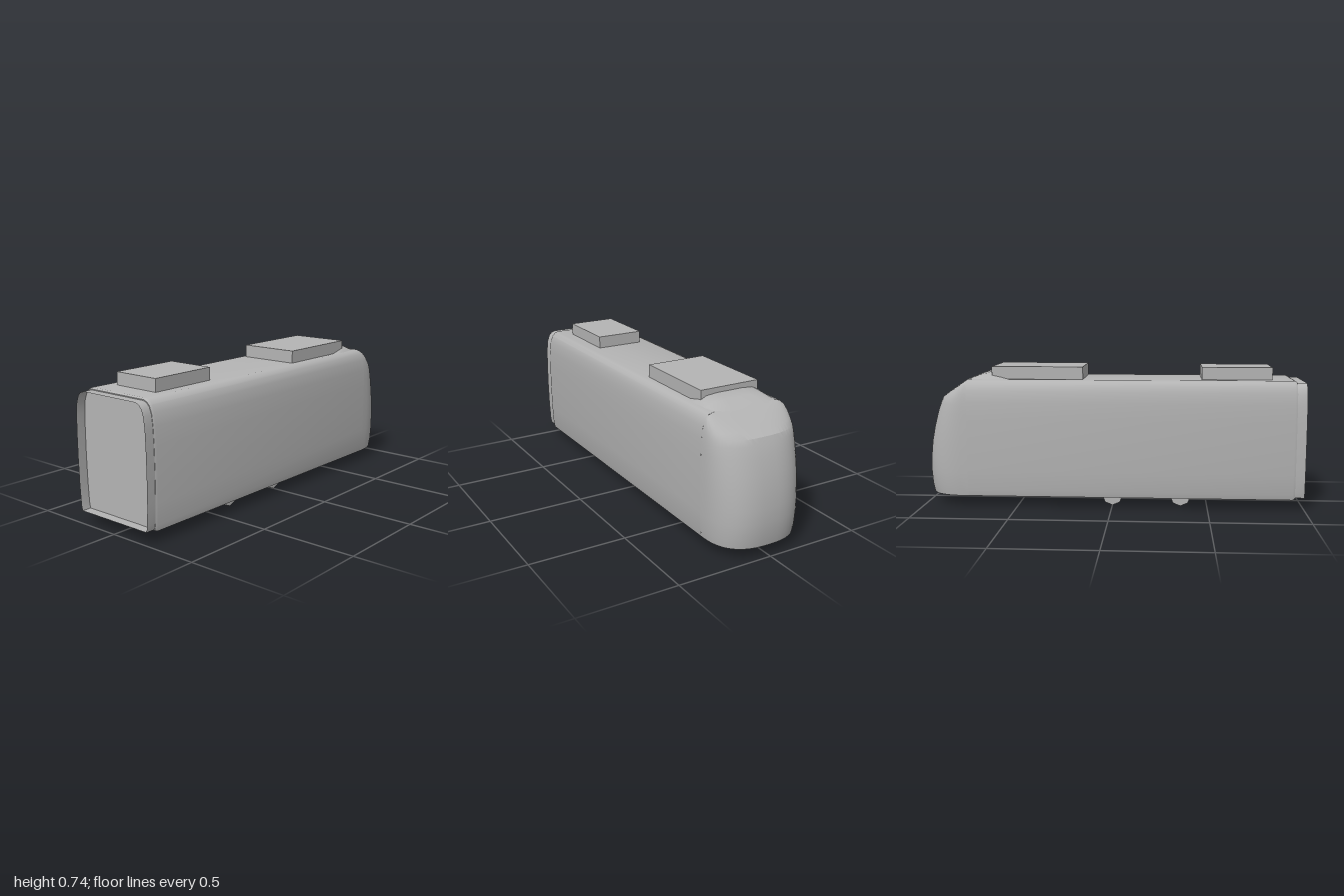
import * as THREE from 'three';
import { toCreasedNormals } from 'three/addons/utils/BufferGeometryUtils.js';

// Right half of the body cross-section, floor to roof: [x, y]
const HALF = [[0.228, 0.055], [0.234, 0.085], [0.239, 0.19], [0.241, 0.33], [0.24, 0.46], [0.237, 0.55],
  [0.23, 0.61], [0.217, 0.645], [0.2, 0.662], [0.18, 0.669]];
const FLOOR = 0.055, ROOF = 0.669, SEAM = -0.76;

// Skin a list of equally long rings of [x, y, z]
function loft(rings, crease = 0.5) {
  const n = rings[0].length, index = [];
  for (let j = 0; j < rings.length - 1; j++) {
    for (let i = 0; i < n - 1; i++) {
      const a = j * n + i, b = a + 1, c = a + n, d = c + 1;
      index.push(a, b, c, b, d, c);
    }
  }
  const geo = new THREE.BufferGeometry();
  geo.setAttribute('position', new THREE.Float32BufferAttribute(rings.flat(2), 3));
  geo.setIndex(index);
  return toCreasedNormals(geo, crease);
}

// Closed body outline at z, scaled about its middle
function section(z, sx = 1, sy = sx) {
  const half = HALF.map(([x, y]) => [x * sx, 0.362 + (y - 0.362) * sy, z]);
  const other = half.map(([x, y]) => [-x, y, z]).reverse();
  return [...half, ...other, half[0]];
}

// Linear lookup in [key, value] pairs
function lookup(table, k) {
  for (let i = 1; i < table.length; i++) {
    const [k0, v0] = table[i - 1], [k1, v1] = table[i];
    if (k <= k1) return v0 + (v1 - v0) * Math.max(0, (k - k0) / (k1 - k0));
  }
  return table[table.length - 1][1];
}

// Horizontal rounded outline of the nose at height y
function noseRing(y, depth, power) {
  const w = lookup(HALF.map(([x, h]) => [h, x]), y), ring = [];
  for (let i = 0; i <= 32; i++) {
    const t = (i / 32) * Math.PI, c = Math.cos(t), s = Math.max(0, Math.sin(t));
    ring.push([
      Math.sign(c) * w * Math.abs(c) ** (2 / power), y,
      SEAM - depth * s ** (2 / power),
    ]);
  }
  return ring;
}

export function createModel() {
  const group = new THREE.Group();
  const grey = new THREE.MeshStandardMaterial({ color: 0xb4b4b4, side: THREE.DoubleSide });
  grey.name = 'grey';
  const add = (name, geo, x = 0, y = 0, z = 0) => {
    const mesh = new THREE.Mesh(geo, grey);
    mesh.name = name;
    mesh.position.set(x, y, z);
    group.add(mesh);
    return mesh;
  };

  // Long body shell with a closed front end
  add('body', loft([section(SEAM), section(0.938), section(0.95, 0.982), section(0.95, 0)]));

  // Open gangway sleeve around the recessed end wall
  add('gangwaySleeve', loft([section(0.94, 0.975, 0.967), section(1, 0.975, 0.967)]));

  // Rounded nose: flat underside, bulging face, sloping windscreen
  const face = [[0.055, 0.225], [0.1, 0.234], [0.18, 0.24], [0.25, 0.237], [0.33, 0.228], [0.41, 0.212],
    [0.49, 0.19], [0.54, 0.172], [0.57, 0.158]];
  const screen = [[0.595, 0.122], [0.62, 0.084], [0.645, 0.044], [0.66, 0.018], [ROOF, 0]];
  const rings = [noseRing(FLOOR, 0, 2.6).map(() => [0, FLOOR, SEAM])];
  face.forEach(([y, d]) => rings.push(noseRing(y, d, 2.6)));
  screen.forEach(([y, d], i) => rings.push(noseRing(y, d, 2.8 + i * 0.4)));
  add('nose', loft(rings));

  // Low roof fairing running from the windscreen up to the rear roof unit
  const fairing = [[-0.8, 0.645], [-0.76, 0.671], [-0.7, 0.695], [-0.63, 0.71], [-0.58, 0.69], [-0.53, 0.668]];
  add('roofFairing', loft(fairing.map(([z, h]) => {
    const base = Math.min(0.66, h - 0.006), side = base + (h - base) * 0.55;
    return [[0.188, base, z], [0.165, side, z], [0.13, base + (h - base) * 0.9, z], [0.07, h, z],
      [-0.07, h, z], [-0.13, base + (h - base) * 0.9, z], [-0.165, side, z], [-0.188, base, z]];
  }), 0.7));

  // Roof equipment boxes
  add('frontRoofUnit', new THREE.BoxGeometry(0.26, 0.075, 0.365), 0, 0.696, 0.648);
  add('rearRoofUnit', new THREE.BoxGeometry(0.324, 0.075, 0.48), 0, 0.6975, -0.395);

  // Eight-sided wheels, half sunk into the floor
  const wheel = new THREE.CylinderGeometry(0.055, 0.055, 0.02, 8).rotateZ(Math.PI / 2);
  for (const x of [-0.152, 0.152]) {
    for (const z of [0, 0.36]) add('wheel', wheel, x, 0.055, z);
  }
  return group;
}
